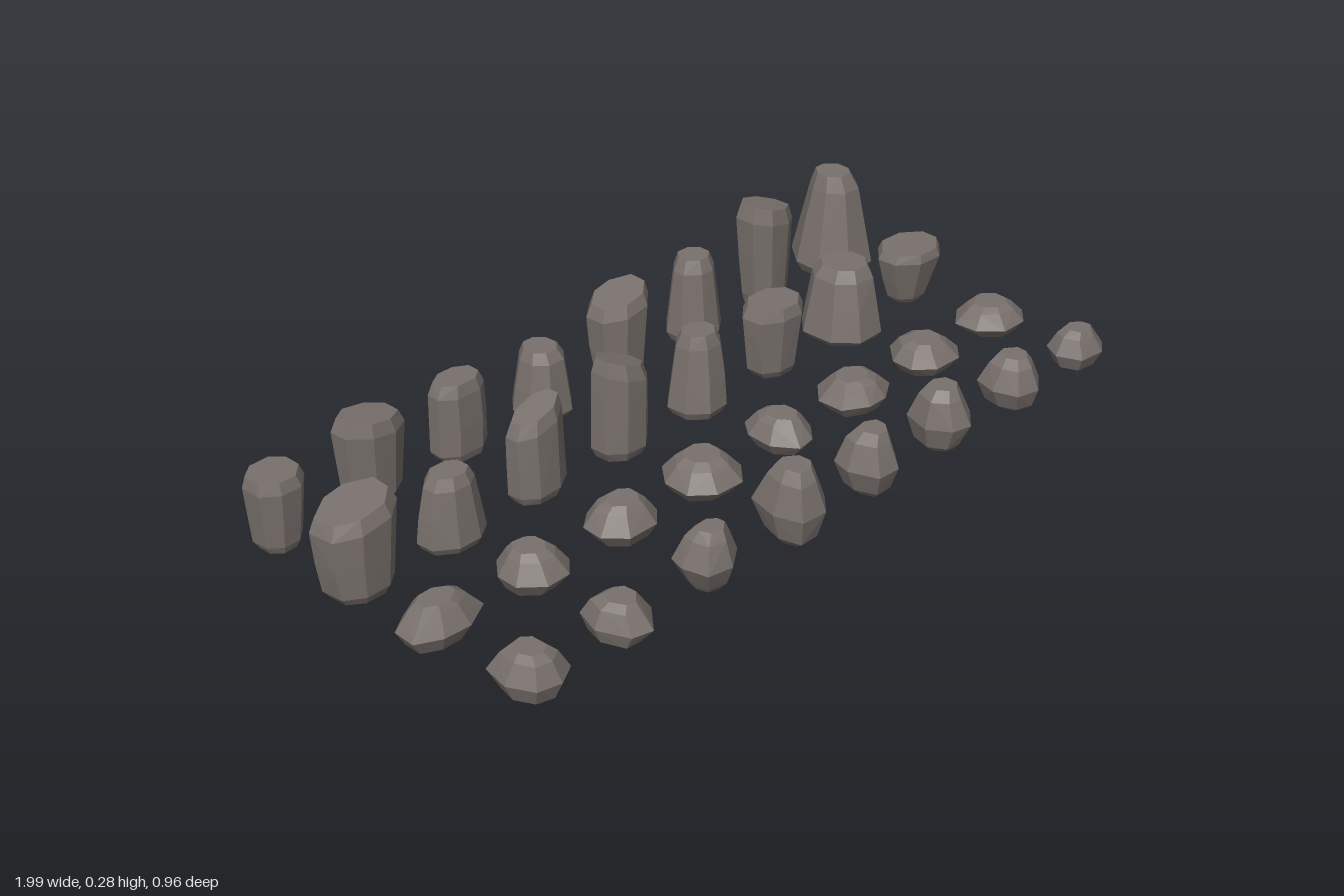
import * as THREE from 'three';
import { ConvexGeometry } from 'three/addons/geometries/ConvexGeometry.js';

// Small seeded generator for the chipped irregularity
function seeded(seed) {
  let s = seed * 7919 + 17;
  return () => {
    s = (Math.imul(s, 1664525) + 1013904223) >>> 0;
    return s / 4294967296;
  };
}

// Half-width of a stone at height fraction y: round ones bulge, blocks run straight with chamfered ends
const bulge = (y) => 0.45 + 0.55 * Math.sin(Math.PI * Math.pow(y, 0.8));
const straight = (bottom, top) => (y) =>
  (bottom + (top - bottom) * y) * (y === 0 || y === 1 ? 0.82 : 1);

// Stone forms: side profile, upward slant of the top towards +x, footprint roughness and squareness
const round = { profile: bulge, slant: 0, sides: 7, square: 0.3, rough: 0.15 };
const block = { profile: straight(0.88, 0.85), slant: 0, sides: 8, square: 0.85, rough: 0.07 };
const forms = {
  round,
  slab: { ...round, sides: 8, rough: 0.1 },
  straight: block,
  highLeft: { ...block, slant: -0.13 },
  highRight: { ...block, slant: 0.12 },
  flared: { ...block, profile: straight(0.76, 1) },
  flaredLeft: { ...block, profile: straight(0.78, 1), slant: -0.07 },
  flaredRight: { ...block, profile: straight(0.78, 1), slant: 0.09 },
  inverted: { ...block, profile: straight(0.52, 1) },
  tapered: { ...block, profile: straight(1, 0.66) },
  wedge: { ...block, profile: straight(1, 0.5) },
};

// One stone: hull around a stack of irregular rings, sized to width, depth and height
function stoneGeometry({ profile, slant, sides, square, rough }, width, depth, height, seed) {
  const rnd = seeded(seed);
  const jitter = (amount) => (rnd() - 0.5) * amount;
  const outline = Array.from({ length: sides }, (_, i) => {
    const a = ((i + 0.5) / sides) * Math.PI * 2 + jitter(rough * 2);
    const c = Math.cos(a), s = Math.sin(a);
    const r = (1 + jitter(rough)) / Math.pow(Math.max(Math.abs(c), Math.abs(s)), square);
    return new THREE.Vector2(c * r, s * r);
  });
  const points = [];
  for (const y of [0, 0.1, 0.45, 0.85, 1]) {
    const shiftX = jitter(rough * 0.8), shiftZ = jitter(rough * 0.8);
    for (const corner of outline) {
      const k = profile(y) * (1 + jitter(rough * 0.6));
      const x = corner.x * k + shiftX;
      points.push(new THREE.Vector3(x, y * (1 + slant * x), corner.y * k + shiftZ));
    }
  }
  const box = new THREE.Box3().setFromPoints(points);
  const size = box.getSize(new THREE.Vector3());
  const middle = box.getCenter(new THREE.Vector3()).setY(box.min.y);
  const scale = new THREE.Vector3(width, height - 0.008, depth).divide(size);
  for (const p of points) p.sub(middle).multiply(scale).setY(p.y + 0.008);
  return new ConvexGeometry(points);
}

// Four rows from back to front, each running from -x to +x
const backRow = {
  name: 'backStone', z: -0.38,
  forms: ['flared', 'flaredLeft', 'straight', 'tapered', 'flaredRight', 'tapered', 'flaredLeft', 'wedge'],
  widths: [0.13, 0.17, 0.14, 0.135, 0.155, 0.14, 0.145, 0.185],
  depths: [0.12, 0.12, 0.095, 0.145, 0.13, 0.13, 0.125, 0.205],
  heights: [0.19, 0.23, 0.205, 0.18, 0.235, 0.225, 0.287, 0.275],
};
const uprightRow = {
  name: 'uprightStone', z: -0.12,
  forms: ['flaredRight', 'tapered', 'highRight', 'highLeft', 'tapered', 'flared', 'tapered', 'inverted'],
  widths: [0.18, 0.155, 0.145, 0.145, 0.145, 0.16, 0.185, 0.175],
  depths: [0.145, 0.12, 0.09, 0.115, 0.13, 0.125, 0.195, 0.14],
  heights: [0.24, 0.185, 0.245, 0.265, 0.215, 0.195, 0.2, 0.155],
};
const flatRow = {
  name: 'flatStone', z: 0.135,
  forms: Array(8).fill('slab'),
  widths: [0.195, 0.15, 0.165, 0.18, 0.135, 0.185, 0.175, 0.175],
  depths: [0.125, 0.15, 0.14, 0.175, 0.17, 0.155, 0.16, 0.16],
  heights: Array.from({ length: 8 }, (_, i) => 0.115 - i * 0.004),
};
const pebbleRow = {
  name: 'pebble', z: 0.395,
  forms: Array(8).fill('round'),
  widths: Array(8).fill(0.136),
  depths: [0.155, 0.155, 0.12, 0.16, 0.14, 0.145, 0.15, 0.12],
  heights: [0.12, 0.105, 0.15, 0.19, 0.165, 0.165, 0.14, 0.11],
};

export function createModel() {
  const group = new THREE.Group();
  group.name = 'stoneCollection';
  const stone = new THREE.MeshStandardMaterial({ color: 0x78706c });
  stone.name = 'warmGreyStone';

  [backRow, uprightRow, flatRow, pebbleRow].forEach((row, r) => {
    row.forms.forEach((form, i) => {
      const geometry = stoneGeometry(forms[form], row.widths[i], row.depths[i], row.heights[i], r * 8 + i + 1);
      const mesh = new THREE.Mesh(geometry, stone);
      mesh.name = `${row.name}${i + 1}`;
      mesh.position.set(-0.9 + i * 0.2575, 0, row.z);
      group.add(mesh);
    });
  });
  return group;
}
